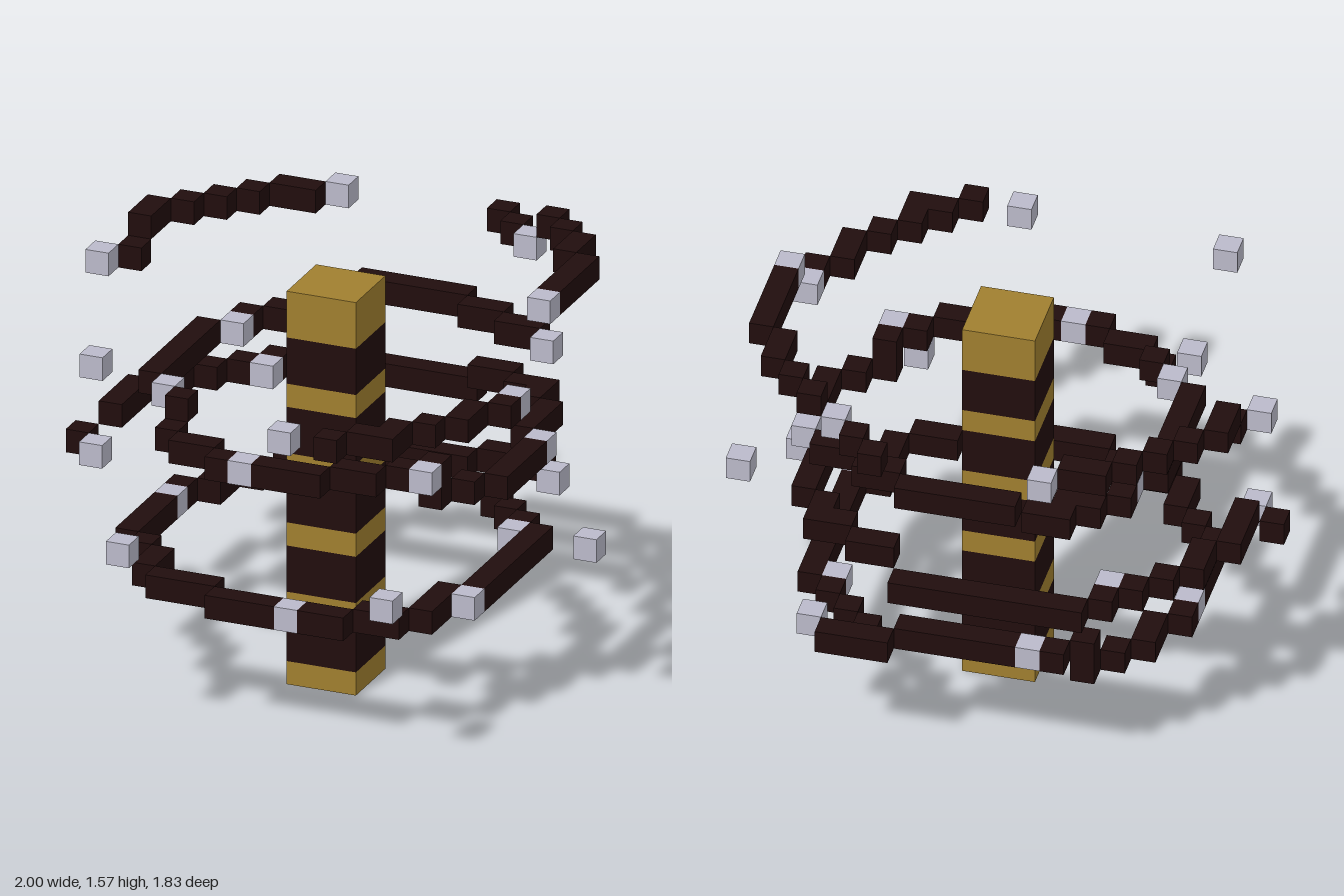
import * as THREE from 'three';
import { mergeGeometries } from 'three/addons/utils/BufferGeometryUtils.js';

const S = 2 / 23; // edge of one block

function material(name, color) {
  const m = new THREE.MeshStandardMaterial({ color });
  m.name = name;
  return m;
}

// Box at grid position (x, z), starting at layer y
function block(x, y, z, w = 1, h = 1) {
  return new THREE.BoxGeometry(w * S, h * S, w * S).translate(x * S, (y + h / 2) * S, z * S);
}

// Grid cells along a polyline of straight or diagonal steps
function cells(path) {
  const out = path.length ? [path[0]] : [];
  for (let i = 1; i < path.length; i++) {
    let [x, z] = path[i - 1];
    const [ex, ez] = path[i];
    while (x !== ex || z !== ez) {
      x += Math.sign(ex - x);
      z += Math.sign(ez - z);
      out.push([x, z]);
    }
  }
  return out;
}

export function createModel() {
  const group = new THREE.Group();
  const gold = material('gold', 0xa07f2f);
  const dark = material('darkBrown', 0x210d0d);
  const pale = material('paleGrey', 0xbbbaca);

  const add = (name, geometry, mat) => {
    const mesh = new THREE.Mesh(geometry, mat);
    mesh.name = name;
    group.add(mesh);
  };

  // Banded central column
  for (let y = 0; y < 15; y += 3) {
    add('columnGoldBand', block(0, y, 0, 3, 1), gold);
    add('columnDarkBand', block(0, y + 1, 0, 3, 2), dark);
  }
  add('columnCap', block(0, 15, 0, 3, 2), gold);

  // One layer of a spiral: dark chain plus pale blocks
  const layer = (y, path, lights) => {
    const isLight = ([x, z]) => lights.some(([a, b]) => a === x && b === z);
    const chain = cells(path).filter((c) => !isLight(c));
    if (chain.length) add('spiralChain', mergeGeometries(chain.map(([x, z]) => block(x, y, z))), dark);
    if (lights.length) add('spiralLights', mergeGeometries(lights.map(([x, z]) => block(x, y, z))), pale);
  };

  // Lower ring
  layer(5, [[4, -7], [6, -5], [7, -4], [7, 2], [6, 3], [6, 5], [5, 6], [4, 6], [3, 7], [-2, 7],
    [-3, 6], [-5, 6], [-6, 5], [-6, 4], [-8, 2], [-8, -3], [-7, -4], [-7, -5], [-5, -7]],
  [[7, 3], [1, 7], [-8, -2], [6, -4]]);
  layer(6, [[-5, -7], [-4, -8], [2, -8], [3, -9], [5, -9]], [[-3, -8], [6, -8]]);

  // Loose blocks and outer arm
  layer(7, [], [[6, 9], [11, 0]]);
  layer(8, [[-11, 0]], [[-10, 1], [-5, 10]]);
  layer(9, [[-10, -1], [-10, -3], [-9, -4], [-9, -5], [-6, -8], [-5, -9], [2, -9]], [[-6, -7]]);

  // Middle spiral
  layer(10, [[6, 4], [8, 2], [8, -2], [7, -3], [7, -5], [6, -6], [6, -7], [5, -7], [4, -8], [3, -8]], [[8, -2]]);
  layer(11, [[6, 4], [4, 6], [3, 6], [2, 7], [-2, 7], [-3, 6], [-4, 6], [-5, 5]], [[6, 5], [-1, 7]]);
  layer(12, [[-5, 4], [-7, 2], [-7, -3], [-6, -4], [-6, -5], [-5, -6], [-4, -6], [-4, -7], [-3, -7]],
    [[-6, 3], [-6, -4]]);
  layer(13, [[-2, -8], [2, -8], [3, -7], [4, -7], [5, -6], [6, -6]], [[7, -5]]);

  // Upper arms
  layer(14, [[9, 4], [8, 5], [8, 6], [6, 8], [6, 9], [5, 9], [4, 10]], [[9, 3], [2, 10]]);
  layer(15, [[-10, -3]], [[-11, -2], [-7, 8]]);
  layer(16, [[-10, -4], [-10, -5], [-6, -9], [-5, -9]], [[-4, -10]]);
  layer(16, [[4, -9], [3, -10]], [[5, -8]]);
  layer(17, [[9, -1], [9, -4], [8, -5], [8, -6], [6, -8]], [[9, 0]]);

  return group;
}
